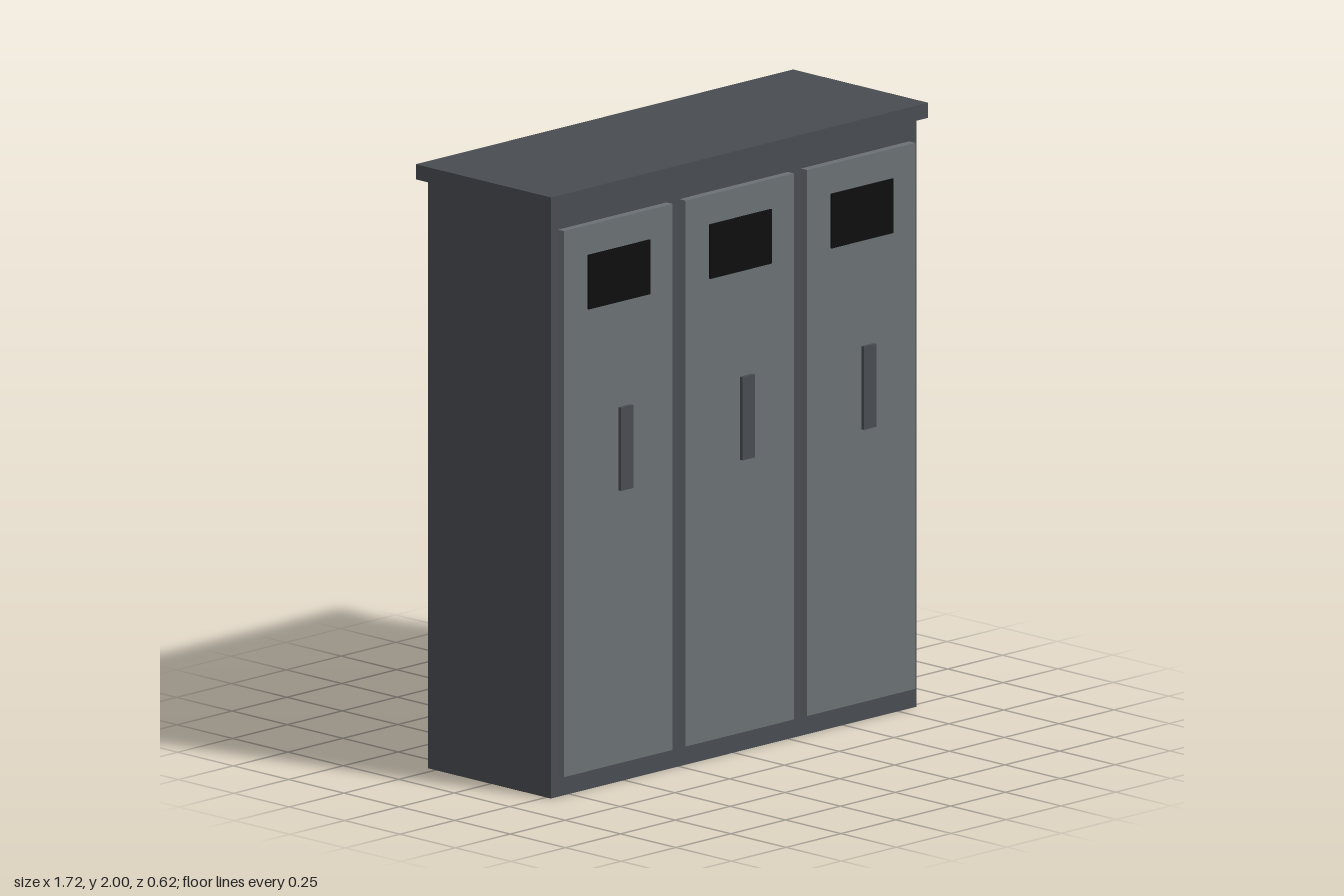
import * as THREE from 'three';

const material = (name, color) => {
  const m = new THREE.MeshStandardMaterial({ color });
  m.name = name;
  return m;
};

// Box given by its min and max extents on each axis
function box(name, mat, [x0, x1], [y0, y1], [z0, z1]) {
  const mesh = new THREE.Mesh(new THREE.BoxGeometry(x1 - x0, y1 - y0, z1 - z0), mat);
  mesh.position.set((x0 + x1) / 2, (y0 + y1) / 2, (z0 + z1) / 2);
  mesh.name = name;
  return mesh;
}

export function createModel() {
  const darkGrey = material('dark grey metal', 0x484c50);
  const doorGrey = material('door grey metal', 0x6a7074);
  const black = material('vent black', 0x0d0d0d);

  const model = new THREE.Group();
  model.name = 'lockerCabinet';

  // Cabinet body and overhanging lid
  model.add(
    box('body', darkGrey, [-0.833, 0.833], [0, 1.95], [-0.284, 0.271]),
    box('lid', darkGrey, [-0.86, 0.86], [1.95, 2], [-0.312, 0.298]),
  );

  // Three identical doors, each with a vent plate and a handle
  ['rightDoor', 'middleDoor', 'leftDoor'].forEach((name, i) => {
    const door = new THREE.Group();
    door.name = name;
    door.position.x = (i - 1) * 0.554;
    door.add(
      box('doorPanel', doorGrey, [-0.247, 0.247], [0.07, 1.878], [0.271, 0.299]),
      box('vent', black, [-0.14, 0.14], [1.6, 1.78], [0.297, 0.305]),
      box('handle', darkGrey, [0, 0.055], [0.975, 1.25], [0.297, 0.312]),
    );
    model.add(door);
  });

  return model;
}
